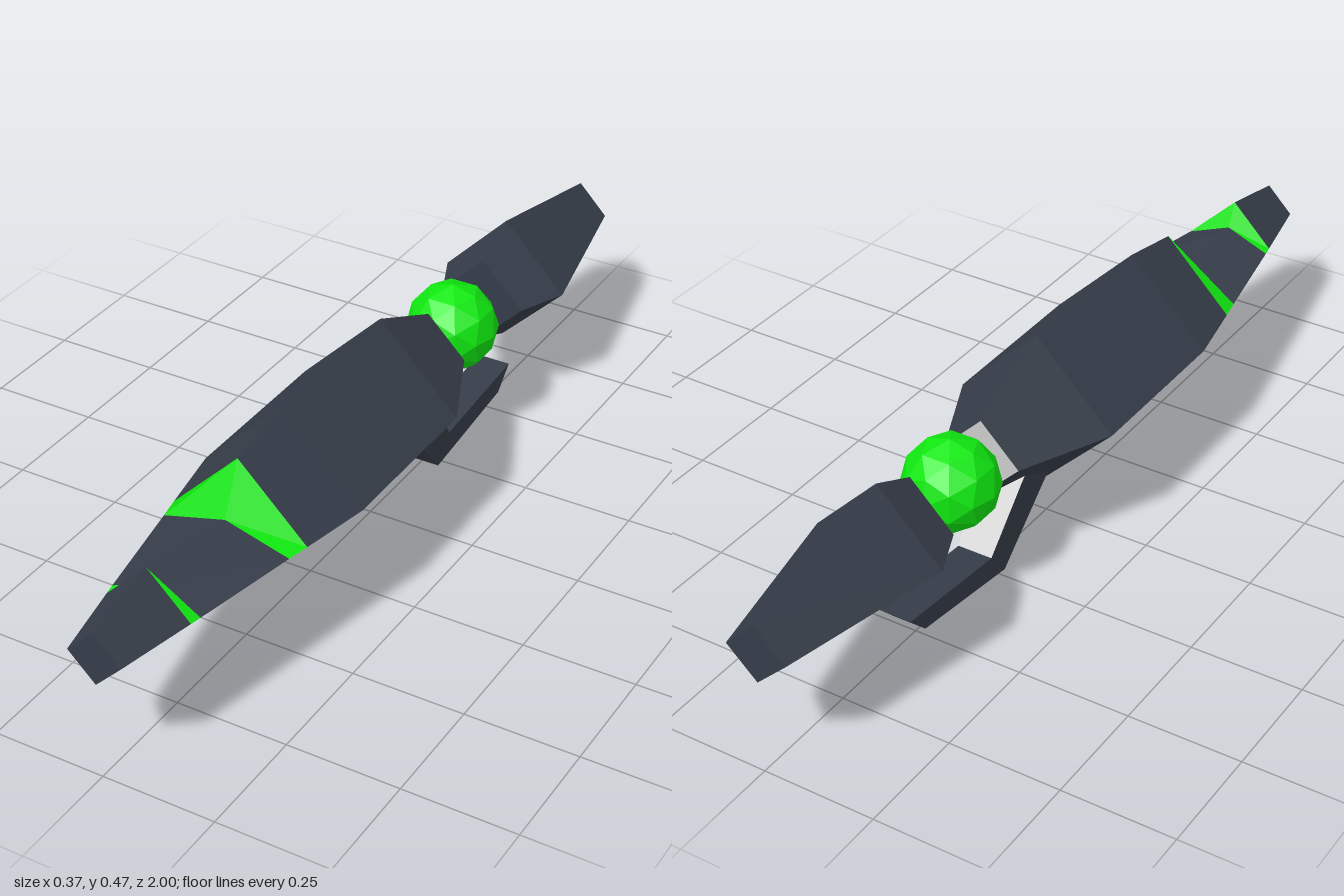
import * as THREE from 'three';

const paint = (color) => new THREE.MeshStandardMaterial({ color, flatShading: true });
const dark = paint(0x363d49);
const green = paint(0x10e810);
const grey = paint(0xcccccc);

const MID = 0.28; // height of the long axis

// Diamond cross-section: side corners on the axis, separate top and bottom heights
const diamond = (z, w, top, bottom) => [
  [w, MID, z], [0, top, z], [-w, MID, z], [0, bottom, z],
];

// Rectangular cross-section between a front and a back point given as [y, z]
const bar = (front, back, w) => [
  [w, ...back], [w, ...front], [-w, ...front], [-w, ...back],
];

// Skins four-cornered sections; sides lists the faces to keep
function loft(name, material, sections, { start = false, end = false, sides = [0, 1, 2, 3] } = {}) {
  const pos = [];
  const quad = (a, b, c, d) => pos.push(...a, ...b, ...c, ...a, ...c, ...d);
  for (let s = 0; s < sections.length - 1; s++) {
    const p = sections[s], q = sections[s + 1];
    for (const i of sides) {
      const j = (i + 1) % 4;
      quad(p[i], p[j], q[j], q[i]);
    }
  }
  if (start) quad(...[...sections[0]].reverse());
  if (end) quad(...sections[sections.length - 1]);
  const geometry = new THREE.BufferGeometry();
  geometry.setAttribute('position', new THREE.Float32BufferAttribute(pos, 3));
  geometry.computeVertexNormals();
  const mesh = new THREE.Mesh(geometry, material);
  mesh.name = name;
  return mesh;
}

export function createModel() {
  const model = new THREE.Group();
  model.name = 'model';

  // Main body, front bands and nose share their boundary sections
  const bodyBack = diamond(-0.25, 0.09, 0.37, 0.19);
  const bodyFront = diamond(0.51, 0.155, 0.435, 0.125);
  const neckBack = diamond(0.56, 0.145, 0.32, 0.135);
  const neckFront = diamond(0.8, 0.1, 0.32, 0.18);
  const noseBack = diamond(0.825, 0.095, 0.375, 0.185);
  const noseTip = diamond(1, 0.06, 0.34, 0.22);
  model.add(
    loft('body', dark, [
      bodyBack,
      diamond(-0.04, 0.185, 0.465, 0.095),
      diamond(0.35, 0.185, 0.465, 0.095),
      bodyFront,
    ]),
    loft('bodyBackPlate', grey, [bodyBack], { start: true }),
    loft('wideBand', green, [bodyFront, neckBack]),
    loft('neck', dark, [neckBack, neckFront]),
    loft('narrowBand', green, [neckFront, noseBack]),
    loft('nose', dark, [noseBack, noseTip], { end: true }),
  );

  // Floating tail piece
  model.add(loft('tail', dark, [
    diamond(-1, 0.068, 0.35, 0.215),
    diamond(-0.61, 0.148, 0.43, 0.135),
    diamond(-0.5, 0.1, 0.38, 0.18),
  ], { start: true, end: true }));

  // Faceted energy ball between body and tail
  const ball = new THREE.Mesh(new THREE.IcosahedronGeometry(0.104, 1), green);
  ball.name = 'ball';
  ball.position.set(0, 0.285, -0.36);
  model.add(ball);

  // Bent handle below the body, with a plain inner face on the upper part
  const top = bar([0.18, -0.07], [0.225, -0.16], 0.056);
  const elbow = bar([0, -0.23], [0.06, -0.28], 0.041);
  const tip = bar([0.035, -0.52], [0.085, -0.57], 0.039);
  const handle = new THREE.Group();
  handle.name = 'handle';
  handle.add(
    loft('handleUpper', dark, [top, elbow], { start: true, sides: [0, 1, 2] }),
    loft('handleInnerFace', grey, [top, elbow], { sides: [3] }),
    loft('handleLower', dark, [elbow, tip], { end: true }),
  );
  model.add(handle);

  return model;
}
